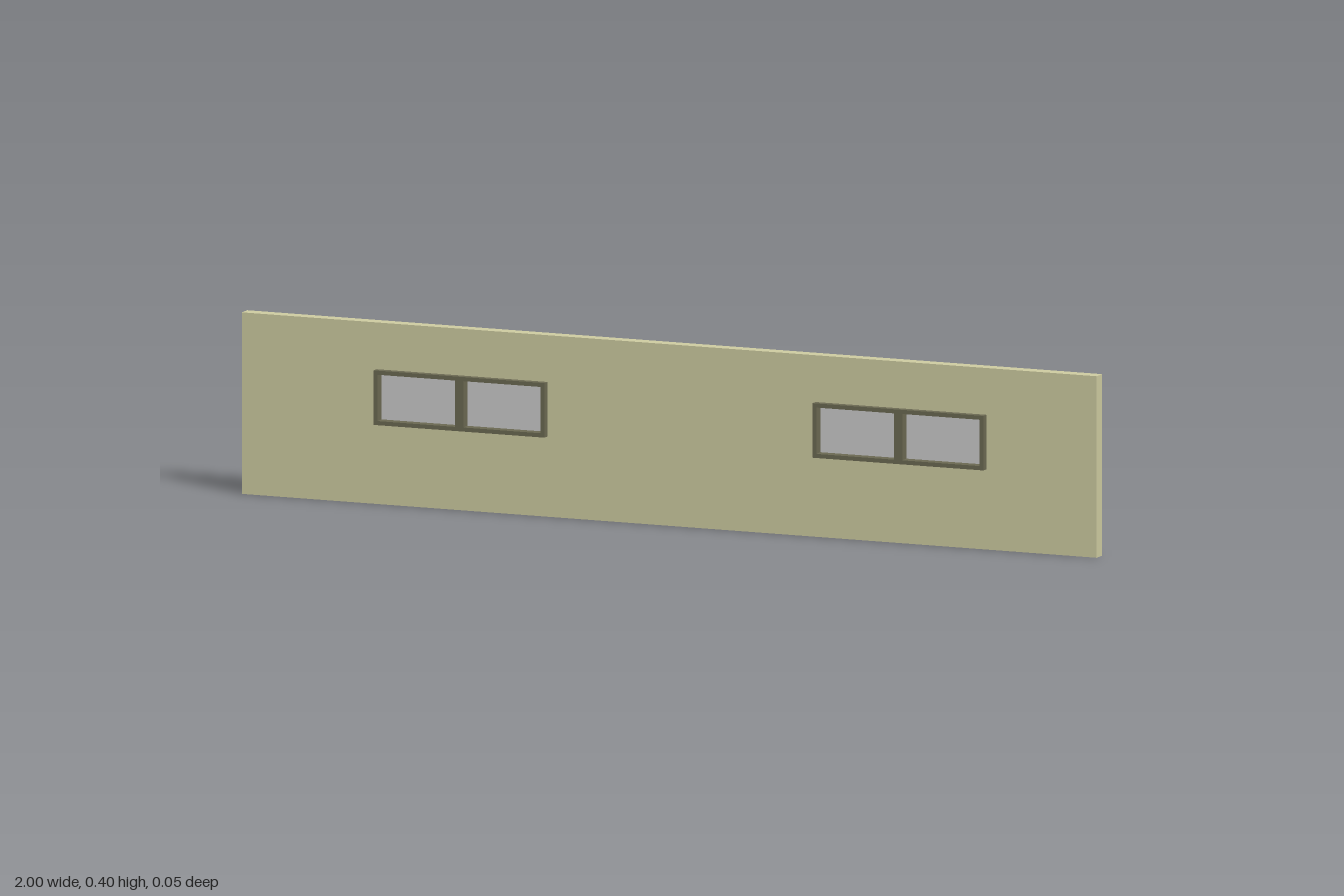
import * as THREE from 'three';

const wallMat = new THREE.MeshStandardMaterial({ color: 0xcecca1 });
const frameMat = new THREE.MeshStandardMaterial({ color: 0x6b6952 });
const paneMat = new THREE.MeshStandardMaterial({ color: 0xcccccc });

const BOTTOM = 0.175, TOP = 0.294;

function rect(Type, x0, y0, x1, y1) {
  const r = new Type();
  r.moveTo(x0, y0);
  r.lineTo(x1, y0);
  r.lineTo(x1, y1);
  r.lineTo(x0, y1);
  r.closePath();
  return r;
}

// Extrudes a shape with holes between two depths
function slab(name, shape, z0, z1, material) {
  const geo = new THREE.ExtrudeGeometry(shape, { depth: z1 - z0, bevelEnabled: false });
  geo.translate(0, 0, z0);
  const mesh = new THREE.Mesh(geo, material);
  mesh.name = name;
  return mesh;
}

// Window: frame with two openings either side of a mullion, and a pane in each
function makeWindow(name, x0, x1) {
  const group = new THREE.Group();
  group.name = name;
  const border = 0.009, halfMullion = 0.01, mid = (x0 + x1) / 2;
  const openings = [[x0 + border, mid - halfMullion], [mid + halfMullion, x1 - border]];

  const outline = rect(THREE.Shape, x0, BOTTOM, x1, TOP);
  for (const [a, b] of openings) {
    outline.holes.push(rect(THREE.Path, a, BOTTOM + border, b, TOP - border));
  }
  group.add(slab('windowFrame', outline, -0.026, 0.027, frameMat));

  for (const [a, b] of openings) {
    const pane = new THREE.Mesh(
      new THREE.BoxGeometry(b - a, TOP - BOTTOM - 2 * border, 0.008), paneMat);
    pane.position.set((a + b) / 2, (BOTTOM + TOP) / 2, 0);
    pane.name = 'windowPane';
    group.add(pane);
  }
  return group;
}

export function createModel() {
  const model = new THREE.Group();
  model.name = 'wallWithWindows';
  const windows = [['rightWindow', -0.685, -0.285], ['leftWindow', 0.342, 0.742]];

  // Wall panel, cut out for the windows
  const wall = rect(THREE.Shape, -1, 0, 1, 0.396);
  for (const [name, x0, x1] of windows) {
    wall.holes.push(rect(THREE.Path, x0, BOTTOM, x1, TOP));
    model.add(makeWindow(name, x0, x1));
  }
  model.add(slab('wall', wall, -0.018, 0.011, wallMat));
  return model;
}
